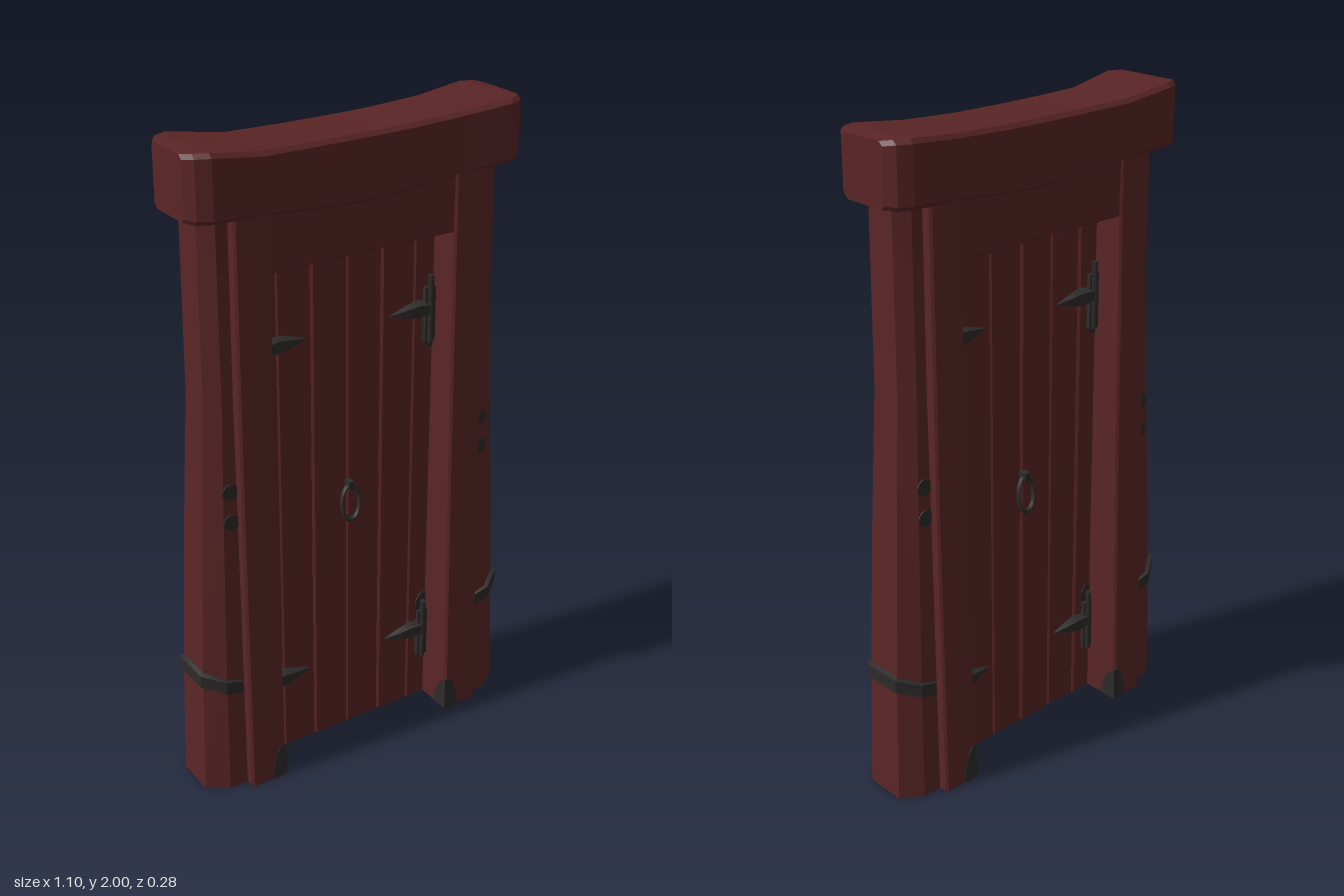
import * as THREE from 'three';
import { toCreasedNormals } from 'three/addons/utils/BufferGeometryUtils.js';

const wood = new THREE.MeshStandardMaterial({ color: 0x5a2526 });
wood.name = 'red wood';
const iron = new THREE.MeshStandardMaterial({ color: 0x2e2b2a });
iron.name = 'dark iron';

function add(parent, name, geometry, material) {
  const mesh = new THREE.Mesh(geometry, material);
  mesh.name = name;
  parent.add(mesh);
  return mesh;
}

// Skins a list of equal-length convex rings of [x, y, z] and caps both ends.
function loft(rings, crease = 0.4) {
  const tris = [];
  const n = rings[0].length;
  for (let i = 0; i + 1 < rings.length; i++) {
    for (let j = 0; j < n; j++) {
      const k = (j + 1) % n;
      const a = rings[i][j], b = rings[i][k], c = rings[i + 1][k], d = rings[i + 1][j];
      tris.push([a, b, c], [a, c, d]);
    }
  }
  const first = rings[0], last = rings[rings.length - 1];
  for (let j = 1; j + 1 < n; j++) {
    tris.push([first[0], first[j + 1], first[j]], [last[0], last[j], last[j + 1]]);
  }
  // Turn the faces outward whichever way the rings run
  const v = tris.map((t) => t.map((p) => new THREE.Vector3(...p)));
  const volume = v.reduce((s, [a, b, c]) => s + a.dot(b.clone().cross(c)), 0);
  if (volume < 0) tris.forEach((t) => t.reverse());
  const g = new THREE.BufferGeometry();
  g.setAttribute('position', new THREE.Float32BufferAttribute(tris.flat(2), 3));
  g.computeVertexNormals();
  return toCreasedNormals(g, crease);
}

// Rectangle with cut corners, as [u, v] pairs.
function bevelled(u0, u1, v0, v1, b) {
  return [[u0 + b, v0], [u1 - b, v0], [u1, v0 + b], [u1, v1 - b],
    [u1 - b, v1], [u0 + b, v1], [u0, v1 - b], [u0, v0 + b]];
}

function plate(points, depth) {
  const shape = new THREE.Shape(points.map(([x, y]) => new THREE.Vector2(x, y)));
  return new THREE.ExtrudeGeometry(shape, { depth, bevelEnabled: false });
}

// Sagging beam on top with flared, rounded ends
function buildLintel(parent) {
  const stations = [ // x, bottom, top, half depth
    [-0.54, 1.815, 1.995, 0.08], [-0.52, 1.812, 2, 0.112], [-0.48, 1.812, 2, 0.13],
    [-0.32, 1.8, 1.976, 0.114], [-0.15, 1.785, 1.974, 0.11], [0, 1.778, 1.974, 0.11],
    [0.15, 1.785, 1.976, 0.11], [0.32, 1.802, 1.984, 0.114], [0.48, 1.816, 2, 0.13],
    [0.52, 1.816, 2, 0.112], [0.54, 1.818, 1.995, 0.08],
  ];
  add(parent, 'lintel', loft(stations.map(([x, y0, y1, d]) =>
    bevelled(y0, y1, -d, d, 0.012).map(([y, z]) => [x, y, z]))), wood);
}

// Outer and inner post with the iron band, for one side
function buildPosts(parent, s) {
  const heights = [ // y, inner x, outer x, half depth
    [0, 0.422, 0.55, 0.107], [0.4, 0.42, 0.538, 0.1], [0.85, 0.418, 0.517, 0.092],
    [1.28, 0.412, 0.493, 0.082], [1.83, 0.41, 0.49, 0.078],
  ];
  add(parent, 'outerPost', loft(heights.map(([y, xi, xo, d]) => {
    const m = xi + (xo - xi) * 0.5;
    return [[xi, -d], [m, -d], [xo, -d * 0.6], [xo, d * 0.6], [m, d], [xi, d]]
      .map(([x, z]) => [s * x, y, z]);
  }), 0.3), wood);

  add(parent, 'innerPost', loft([[0, 0.14, 0.425], [0.9, 0.122, 0.42], [1.83, 0.11, 0.413]]
    .map(([y, d, xo]) => bevelled(0.305, xo, -d, d, 0.007).map(([x, z]) => [s * x, y, z])), 0.3), wood);

  // Band wraps the outer post and droops towards its ends
  const path = [[0.43, 0.108, 0.356], [0.487, 0.11, 0.372], [0.55, 0.066, 0.395],
    [0.55, -0.066, 0.395], [0.487, -0.11, 0.372], [0.43, -0.108, 0.356]];
  add(parent, 'postBand', loft(path.map(([x, z, y]) => {
    const xi = x > 0.5 ? x - 0.02 : x, zi = z * 0.84;
    return [[s * x, y - 0.02, z], [s * x, y + 0.02, z], [s * xi, y + 0.027, zi], [s * xi, y - 0.027, zi]];
  }), 0.6), iron);
}

// Pin, plate and pointed strap of a hinge
function buildHinge(parent, s, y) {
  const hinge = new THREE.Group();
  hinge.name = 'hinge';
  hinge.position.set(0, y, 0);
  parent.add(hinge);
  add(hinge, 'hingePin', new THREE.CylinderGeometry(0.009, 0.009, 0.21, 8), iron)
    .position.set(s * 0.283, 0, 0.034);
  add(hinge, 'hingePlate', new THREE.BoxGeometry(0.036, 0.17, 0.02), iron)
    .position.set(s * 0.286, -0.02, 0.02);
  add(hinge, 'hingeStrap', loft([[0.28, 0.024, 0.04], [0.235, 0.03, 0.04], [0.19, 0.017, 0.034], [0.146, 0.002, 0.022]]
    .map(([x, h, z]) => [[s * x, -h, 0.012], [s * x, -h * 0.6, z], [s * x, h * 0.6, z], [s * x, h, 0.012]])), iron);
  const stain = [[0.305, -0.13], [0.285, -0.125], [0.267, -0.1], [0.265, -0.04], [0.305, 0.04]];
  const flip = y < 1 ? -1 : 1;
  add(hinge, 'hingeMark', plate(stain.map(([x, v]) => [s * x, flip * v]), 0.004), iron)
    .position.z = 0.014;
}

// Everything fixed on one face of the door
function buildIronwork(name) {
  const face = new THREE.Group();
  face.name = name;
  for (const s of [-1, 1]) {
    for (const y of [0.265, 1.385]) buildHinge(face, s, y);
    for (const y of [0.915, 1.01]) {
      const stud = add(face, 'postSpot', new THREE.CylinderGeometry(0.026, 0.026, 0.006, 12), iron);
      stud.rotation.x = Math.PI / 2;
      stud.position.set(s * 0.44, y, 0.091 - (y - 0.9) * 0.022);
    }
    // Corner marks at the foot of the inner post: front, then inside face
    const foot = [[0.303, 0], [0.355, 0], [0.348, 0.045], [0.335, 0.09], [0.318, 0.115], [0.303, 0.11]];
    const front = add(face, 'footMark', plate(foot.map(([x, y]) => [s * x, y]), 0.005), iron);
    front.position.z = 0.1365;
    front.rotation.x = -0.02;
    const inside = add(face, 'footMarkInside',
      plate([[-0.139, 0], [-0.075, 0], [-0.085, 0.04], [-0.11, 0.09], [-0.137, 0.11]], 0.004), iron);
    inside.rotation.y = Math.PI / 2;
    inside.position.x = s * 0.305 - 0.002;
  }
  // Ring pull
  const ring = add(face, 'handleRing', new THREE.TorusGeometry(0.05, 0.008, 8, 24), iron);
  ring.scale.set(0.62, 1.1, 1);
  ring.position.set(0, 0.82, 0.036);
  ring.rotation.x = -0.1;
  add(face, 'handleMount', new THREE.BoxGeometry(0.018, 0.03, 0.036), iron).position.set(0, 0.878, 0.026);
  return face;
}

export function createModel() {
  const model = new THREE.Group();
  model.name = 'door';
  buildLintel(model);
  for (const s of [-1, 1]) buildPosts(model, s);

  // Crossbar above the opening
  add(model, 'crossbar', loft([[-0.4, 0.106], [0, 0.1], [0.4, 0.106]].map(([x, d]) =>
    bevelled(1.635, 1.85, -d, d, 0.007).map(([y, z]) => [x, y, z]))), wood);

  // Planks meet in shallow V grooves
  const seams = [-0.31, -0.235, -0.12, 0, 0.12, 0.235, 0.31];
  for (let i = 0; i + 1 < seams.length; i++) {
    const d = i % 2 ? 0.015 : 0.017;
    add(model, 'plank', loft([0, 1.65].map((y) =>
      bevelled(seams[i], seams[i + 1], -d, d, 0.006).map(([x, z]) => [x, y, z])), 0.2), wood);
  }

  const back = buildIronwork('backIronwork');
  back.rotation.y = Math.PI;
  model.add(buildIronwork('frontIronwork'), back);
  return model;
}
